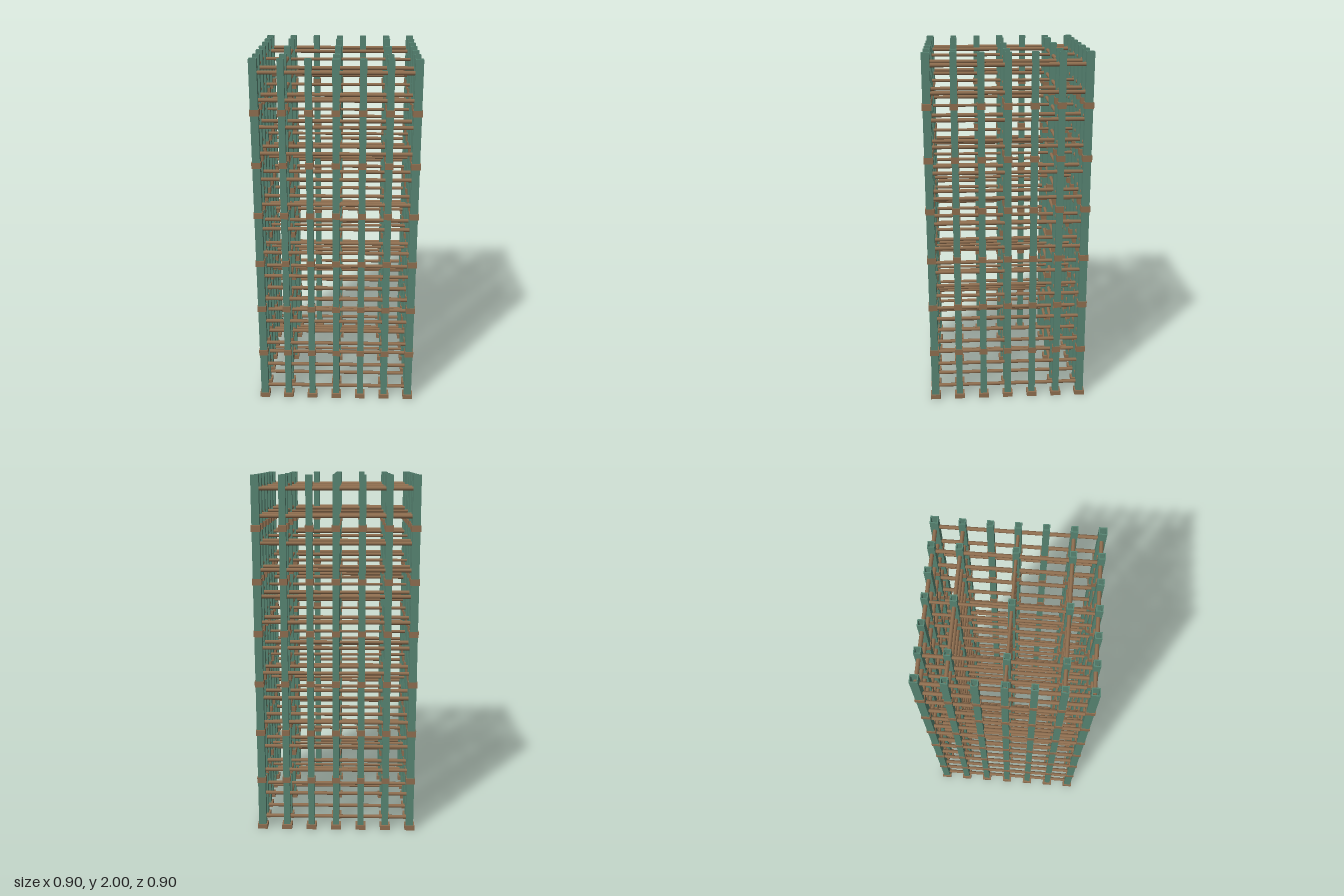
import * as THREE from 'three';

const STEP = 0.141, EDGE = 3 * STEP;

// Square tube standing on y = 0, open at both ends
function squareTube(outer, inner, height) {
  const square = (Type, s) => {
    const p = new Type();
    p.moveTo(-s / 2, -s / 2);
    p.lineTo(s / 2, -s / 2);
    p.lineTo(s / 2, s / 2);
    p.lineTo(-s / 2, s / 2);
    p.closePath();
    return p;
  };
  const shape = square(THREE.Shape, outer);
  shape.holes.push(square(THREE.Path, inner));
  const g = new THREE.ExtrudeGeometry(shape, { depth: height, bevelEnabled: false });
  g.rotateX(-Math.PI / 2);
  return g;
}

export function createModel() {
  const model = new THREE.Group();
  model.name = 'latticeTower';
  const green = new THREE.MeshStandardMaterial({ color: 0x588674 });
  green.name = 'weathered green';
  const brown = new THREE.MeshStandardMaterial({ color: 0x906f50 });
  brown.name = 'wood brown';

  const add = (parent, name, geometry, material, x, y, z) => {
    const mesh = new THREE.Mesh(geometry, material);
    mesh.name = name;
    mesh.position.set(x, y, z);
    parent.add(mesh);
    return mesh;
  };

  const footHeight = 0.026, collarHeight = 0.034;
  const foot = new THREE.BoxGeometry(0.057, footHeight, 0.057);
  const kit = (width) => ({
    post: squareTube(width, width - 0.011, 2 - footHeight),
    collar: squareTube(width + 0.008, width, collarHeight),
  });
  const cornerKit = kit(0.042), plainKit = kit(0.036);

  // Posts: a closed perimeter of seven per side, plus a three by three core
  for (let i = -3; i <= 3; i++) {
    for (let j = -3; j <= 3; j++) {
      const onEdge = Math.abs(i) === 3 || Math.abs(j) === 3;
      const inCore = i % 2 === 0 && j % 2 === 0;
      if (!onEdge && !inCore) continue;
      const parts = Math.abs(i) === 3 && Math.abs(j) === 3 ? cornerKit : plainKit;
      const column = new THREE.Group();
      column.name = onEdge ? 'outerColumn' : 'coreColumn';
      column.position.set(i * STEP, 0, j * STEP);
      add(column, 'foot', foot, brown, 0, footHeight / 2, 0);
      add(column, 'post', parts.post, green, 0, footHeight, 0);
      for (let k = 0; k < 6; k++) {
        add(column, 'collar', parts.collar, brown, 0, 0.299 + k * 0.2847 - collarHeight / 2, 0);
      }
      model.add(column);
    }
  }

  // Round rails in both directions on fourteen levels
  const rail = (radius) => new THREE.CylinderGeometry(radius, radius, 2 * EDGE + 0.018, 8);
  const thick = rail(0.0105), thin = rail(0.0085);
  for (let level = 0; level < 14; level++) {
    const y = 0.071 + level * 0.1429;
    const tier = new THREE.Group();
    tier.name = 'railTier';
    for (const row of [-3, -2, 0, 2, 3]) {
      const geometry = row === 0 ? thin : thick;
      add(tier, 'crossRail', geometry, brown, 0, y, row * STEP).rotation.z = Math.PI / 2;
      add(tier, 'depthRail', geometry, brown, row * STEP, y + 0.006, 0).rotation.x = Math.PI / 2;
    }
    model.add(tier);
  }
  return model;
}
